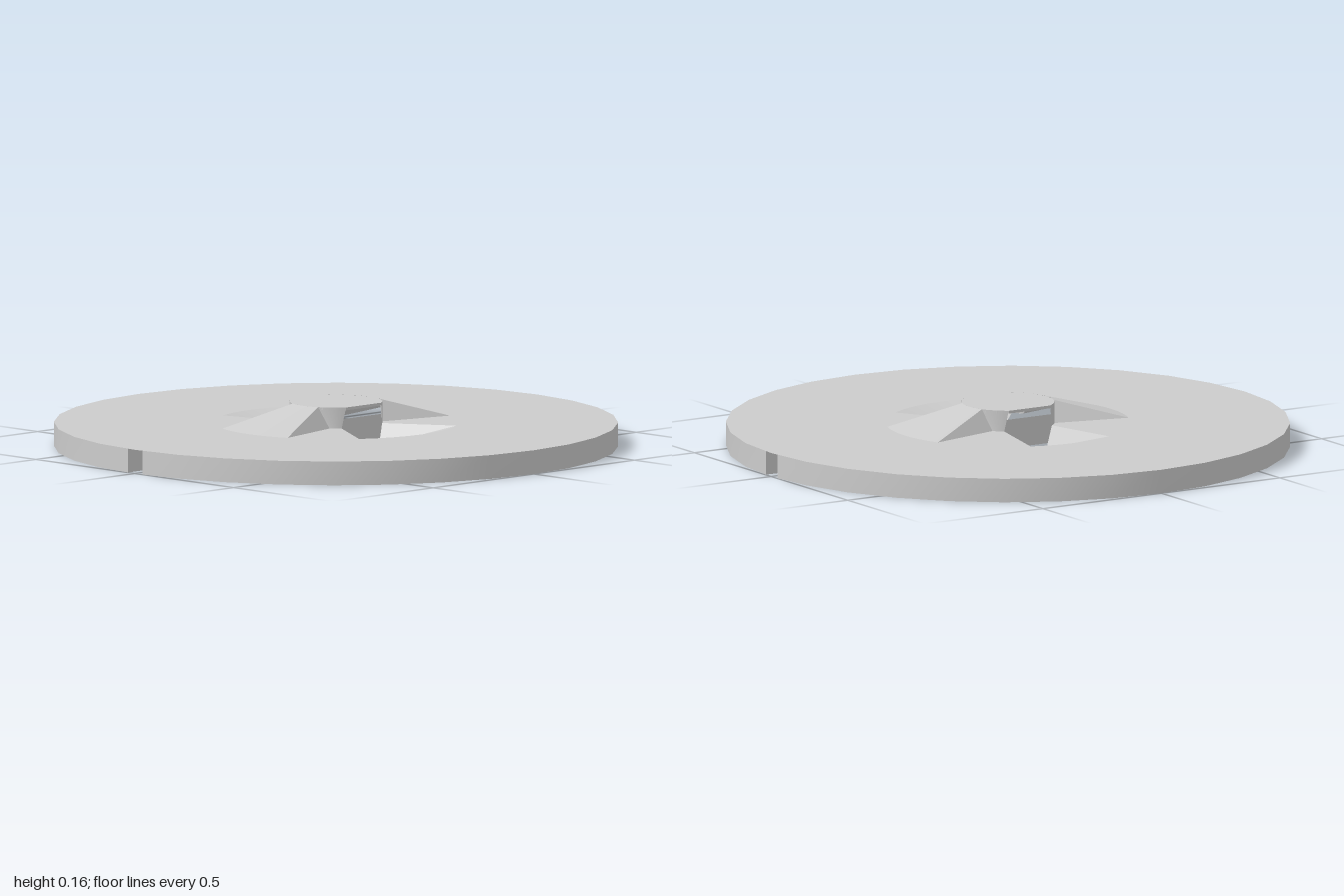
import * as THREE from 'three';

const TOP = 0.085, HUB = 0.16, LOW = 0.01;   // sheet, hub and sunken petal heights
const R_IN = 0.165, R_TIP = 0.435, SLOT = 0.037;
const BASE = 37.5, EDGE = 23;                // half angles at the hub, in degrees
const material = new THREE.MeshStandardMaterial({ color: 0xcccccc, side: THREE.DoubleSide });

// direction is the heading of each petal in degrees from +x towards +z
const petals = [
  { name: 'rightVent', direction: 0, tip: 33.7, y: LOW },
  { name: 'frontPetal', direction: 90, tip: 22.3, y: HUB },
  { name: 'leftVent', direction: 180, tip: 22.3, y: LOW },
  { name: 'backPetal', direction: 270, tip: 22.3, y: HUB },
];

function polar(r, degrees, y) {
  const a = THREE.MathUtils.degToRad(degrees);
  return new THREE.Vector3(r * Math.cos(a), y, r * Math.sin(a));
}

// Sheet between two rows of points of equal length
function strip(rowA, rowB) {
  const n = rowA.length, index = [];
  for (let i = 0; i < n - 1; i++) index.push(i, i + 1, n + i, i + 1, n + i + 1, n + i);
  const g = new THREE.BufferGeometry().setFromPoints([...rowA, ...rowB]);
  g.setIndex(index);
  g.computeVertexNormals();
  return g;
}

function triangle(a, b, c) {
  const g = new THREE.BufferGeometry().setFromPoints([a, b, c]);
  g.computeVertexNormals();
  return g;
}

function arc(r, from, to, y, n = 8) {
  return Array.from({ length: n + 1 }, (_, i) => polar(r, from + (to - from) * i / n, y));
}

export function createModel() {
  const model = new THREE.Group();
  const add = (parent, name, geometry) => {
    const mesh = new THREE.Mesh(geometry, material);
    mesh.name = name;
    parent.add(mesh);
    return mesh;
  };
  const toShape = (p) => new THREE.Vector2(p.x, -p.z);

  // Top sheet with one opening shaped like the four petals
  const disc = new THREE.Shape(arc(1, 0, 360, 0, 32).slice(0, 32).map(toShape));
  const opening = petals.flatMap(({ direction: d, tip }) => [
    polar(R_IN, d - BASE, 0), ...arc(R_TIP, d - tip, d + tip, 0), polar(R_IN, d + BASE, 0),
  ]);
  disc.holes.push(new THREE.Path(opening.map(toShape)));
  add(model, 'topSheet', new THREE.ShapeGeometry(disc).rotateX(-Math.PI / 2).translate(0, TOP, 0));

  // Rim halves and ribs on either side of the slot
  const endZ = 1 - SLOT * (1 - Math.cos(Math.PI / 16)) / Math.sin(Math.PI / 16);
  for (const side of [1, -1]) {
    const rim = (y) => [
      new THREE.Vector3(side * SLOT, y, endZ),
      ...arc(1, 90 - 11.25, -90 + 11.25, y, 14).map((p) => p.setX(p.x * side)),
      new THREE.Vector3(side * SLOT, y, -endZ),
    ];
    const rows = side > 0 ? [rim(TOP), rim(0)] : [rim(0), rim(TOP)];
    add(model, 'rim', strip(...rows));
    const rib = add(model, 'slotRib', new THREE.PlaneGeometry(2 * endZ, TOP));
    rib.rotation.y = side * Math.PI / 2;
    rib.position.set(side * SLOT, TOP / 2, 0);
  }

  // Petals sloping up to the hub or down into the tray, with their side walls
  for (const { name, direction: d, tip, y } of petals) {
    const petal = new THREE.Group();
    petal.name = name;
    model.add(petal);
    add(petal, 'slope', strip(arc(R_IN, d - EDGE, d + EDGE, y), arc(R_TIP, d - tip, d + tip, TOP)));
    for (const s of [-1, 1]) {
      const corners = [polar(R_TIP, d + s * tip, TOP), polar(R_IN, d + s * EDGE, y), polar(R_IN, d + s * BASE, TOP)];
      if ((s > 0) === (y > TOP)) corners.reverse();
      add(petal, 'sideWall', triangle(...corners));
    }
  }

  // Hub plate: a disc with its two sides cut straight
  const cut = THREE.MathUtils.radToDeg(Math.acos(0.14 / R_IN));
  const outline = [...arc(R_IN, cut, 180 - cut, 0), ...arc(R_IN, 180 + cut, 360 - cut, 0)];
  const plate = new THREE.ExtrudeGeometry(new THREE.Shape(outline.map(toShape).reverse()), { depth: 0.01, bevelEnabled: false });
  add(model, 'hubPlate', plate.rotateX(-Math.PI / 2).translate(0, HUB - 0.01, 0));

  // Four curved posts carrying the hub
  for (const z of [1, -1]) for (const x of [1, -1]) {
    const mirror = (p) => p.set(p.x * x, p.y, p.z * z);
    const upper = arc(R_IN, cut, 90 - EDGE, HUB, 6).map(mirror);
    const lower = arc(R_IN, 90 - BASE, BASE, TOP, 6).reverse().map(mirror);
    add(model, 'hubPost', x * z > 0 ? strip(upper, lower) : strip(lower, upper));
  }
  return model;
}
